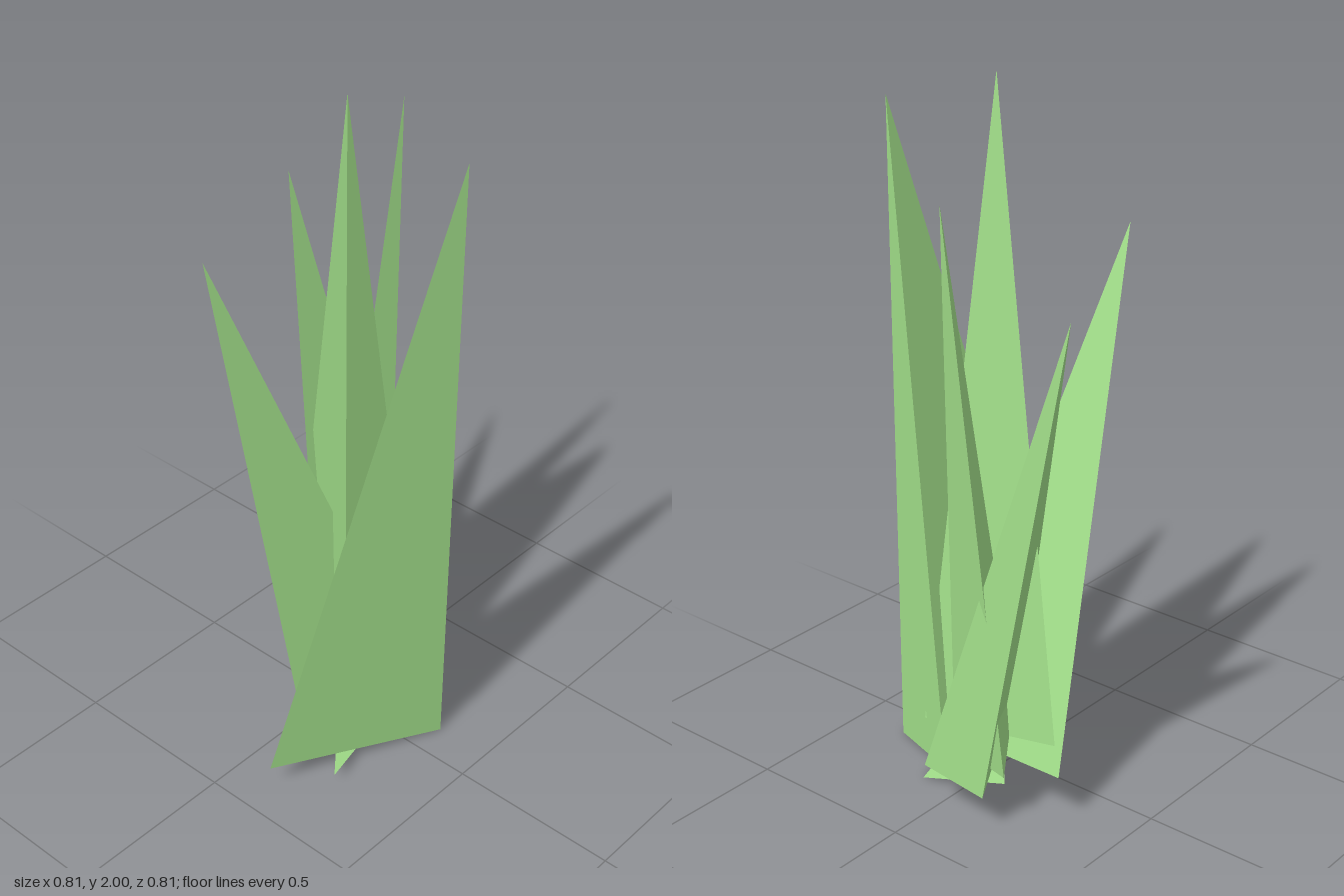
import * as THREE from 'three';

const green = new THREE.MeshStandardMaterial({ color: 0xa0dc88, flatShading: true, side: THREE.DoubleSide });

// Faceted mesh from a list of triangles given as Vector3 triples
function facets(name, triangles) {
  const geometry = new THREE.BufferGeometry().setFromPoints(triangles.flat());
  geometry.computeVertexNormals();
  const mesh = new THREE.Mesh(geometry, green);
  mesh.name = name;
  return mesh;
}

// Closed three-sided spike: a tip above a triangular base
function spike(name, tip, base) {
  const apex = new THREE.Vector3(...tip);
  let [a, b, c] = base.map((p) => new THREE.Vector3(...p));
  const up = b.clone().sub(a).cross(c.clone().sub(a));
  if (up.dot(apex.clone().sub(a)) < 0) [b, c] = [c, b];
  return facets(name, [[a, c, b], [a, b, apex], [b, c, apex], [c, a, apex]]);
}

export function createModel() {
  const group = new THREE.Group();
  group.name = 'grassTuft';

  // Leaning blades
  const blades = [
    ['frontBlade', [0.03, 1.9, 0.41], [[-0.405, 0.07, 0.13], [0.1, 0, 0.335], [0.205, 0.03, 0.075]]],
    ['centreBlade', [-0.035, 2, 0.08], [[-0.157, 0.14, 0.19], [0.157, 0.13, 0.195], [0.18, 0.24, -0.3]]],
    ['leftBlade', [0.405, 1.78, -0.11], [[0.26, 0.17, -0.01], [0.05, 0.24, -0.05], [0.3, 0.165, -0.22]]],
    ['backBlade', [0.265, 1.51, -0.405], [[0.375, 0.155, 0], [0.355, 0.115, -0.19], [-0.1, 0.21, 0.045]]],
    ['rightBlade', [-0.33, 1.57, -0.14], [[0.2, 0.16, -0.33], [-0.22, 0.06, 0.09], [0.17, 0.13, 0.15]]],
  ];
  for (const [name, tip, base] of blades) group.add(spike(name, tip, base));

  // Flat leaf on the ground
  const leaf = [[-0.28, 0.04, 0.26], [0.245, 0, 0.125], [0.19, 0.055, -0.13]];
  group.add(facets('groundLeaf', [leaf.map((p) => new THREE.Vector3(...p))]));

  return group;
}
